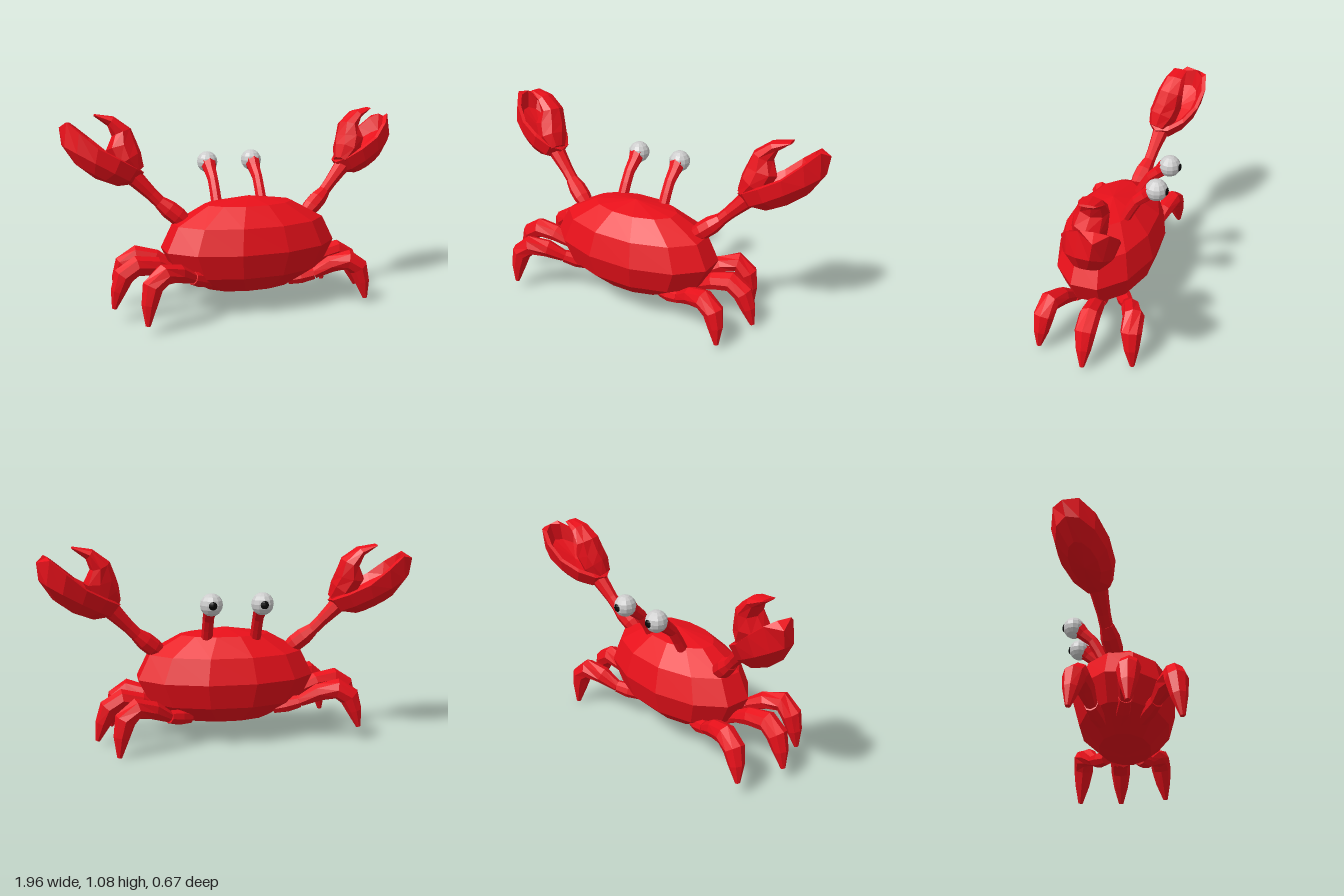
import * as THREE from 'three';

const red = new THREE.MeshStandardMaterial({ color: 0xe8101a, flatShading: true });
const grey = new THREE.MeshStandardMaterial({ color: 0xcccccc, flatShading: true });
const black = new THREE.MeshStandardMaterial({ color: 0x050505, flatShading: true });
const V = (x, y, z) => new THREE.Vector3(x, y, z);

// Closed loft through stations [x, y, z, width radius, depth radius]
function loft(stations, sides = 8) {
  const pts = stations.map(s => V(s[0], s[1], s[2]));
  const last = pts.length - 1;
  const rings = stations.map((s, i) => {
    const t = pts[Math.min(i + 1, last)].clone().sub(pts[Math.max(i - 1, 0)]).normalize();
    const w = V(0, 0, 1).addScaledVector(t, -t.z).normalize();
    return { c: pts[i], w, n: t.clone().cross(w), rw: s[3], rn: s[4] ?? s[3] };
  });
  rings.unshift({ ...rings[0], rw: 0, rn: 0 });
  rings.push({ ...rings[rings.length - 1], rw: 0, rn: 0 });
  const pos = [], index = [];
  rings.forEach((r, i) => {
    for (let j = 0; j < sides; j++) {
      const a = (j / sides) * Math.PI * 2;
      const p = r.c.clone().addScaledVector(r.w, Math.cos(a) * r.rw).addScaledVector(r.n, Math.sin(a) * r.rn);
      pos.push(p.x, p.y, p.z);
      if (i === rings.length - 1) continue;
      const k = (j + 1) % sides, b = i * sides, c = b + sides;
      index.push(b + j, b + k, c + k, b + j, c + k, c + j);
    }
  });
  const g = new THREE.BufferGeometry();
  g.setAttribute('position', new THREE.Float32BufferAttribute(pos, 3));
  g.setIndex(index);
  g.computeVertexNormals();
  return g;
}

function add(parent, name, geometry, material = red) {
  const mesh = new THREE.Mesh(geometry, material);
  mesh.name = name;
  parent.add(mesh);
  return mesh;
}

// Straight segment from a to b with radii spread evenly
function segment(a, b, radii) {
  return loft(radii.map((r, i) => [...a.clone().lerp(b, i / (radii.length - 1)).toArray(), r]));
}

function makeEye(x, side) {
  const eye = new THREE.Group();
  eye.name = side + 'Eye';
  add(eye, 'eyeStalk', loft([
    [x, 0.56, -0.09, 0.032], [x, 0.64, -0.13, 0.031], [x, 0.7, -0.165, 0.031],
    [x, 0.745, -0.215, 0.036], [x, 0.78, -0.25, 0.048],
  ]));
  add(eye, 'eyeball', new THREE.SphereGeometry(0.06, 12, 8), grey).position.set(x, 0.787, -0.27);
  const pupil = add(eye, 'pupil', new THREE.SphereGeometry(0.022, 8, 6), black);
  pupil.position.set(x, 0.787, -0.324);
  pupil.scale.z = 0.5;
  return eye;
}

// Spoon-shaped lower pincer half, hollow on top, fuller towards the wrist
function pincerShell() {
  const profile = [[0, -1], [0.5, -0.87], [0.87, -0.5], [1, 0], [0.86, 0.04], [0.65, -0.2], [0, -0.33]];
  const g = new THREE.LatheGeometry(profile.map(p => new THREE.Vector2(p[0], p[1])), 12);
  g.scale(0.252, 0.15, 0.135);
  const p = g.attributes.position;
  for (let i = 0; i < p.count; i++) {
    const x = p.getX(i), y = p.getY(i);
    p.setX(i, x + 0.28 * Math.min(y, 0));
    if (x > 0 && x < 0.24 && y > -0.01) p.setY(i, y + 0.2 * x); // hooked rim near the tip
  }
  return g;
}

function makeClaw(s, side) {
  const arm = new THREE.Group();
  arm.name = side + 'ClawArm';
  add(arm, 'upperArm', segment(V(s * 0.35, 0.49, -0.02), V(s * 0.49, 0.61, -0.06), [0.038, 0.05, 0.05, 0.036]));
  add(arm, 'forearm', segment(V(s * 0.48, 0.6, -0.06), V(s * 0.63, 0.76, -0.095), [0.034, 0.035, 0.042, 0.05]));
  const u = V(s * 0.82, 0.47, -0.32).normalize();
  const up = V(s * -0.5, 0.87, 0);
  up.addScaledVector(u, -up.dot(u)).normalize();
  const shell = add(arm, 'lowerPincer', pincerShell());
  shell.applyMatrix4(new THREE.Matrix4().makeBasis(u, up, u.clone().cross(up)).setPosition(s * 0.775, 0.893, -0.153));
  add(arm, 'upperPincer', loft([
    [s * 0.6, 0.78, -0.075, 0.05, 0.04], [s * 0.645, 0.84, -0.095, 0.085, 0.078],
    [s * 0.675, 0.91, -0.115, 0.085, 0.085], [s * 0.672, 0.985, -0.13, 0.075, 0.055],
    [s * 0.725, 1.045, -0.14, 0.06, 0.03], [s * 0.808, 1.078, -0.15, 0.04, 0.006],
  ]));
  return arm;
}

// Short hip, then one horn-like limb bending at the knee down to the pointed foot
function makeLeg(name, hip, joint, knee, tip) {
  const leg = new THREE.Group();
  leg.name = name;
  const [h, j, k, t] = [hip, joint, knee, tip].map(p => V(...p));
  const out = Math.sign(t.x);
  const at = (a, b, f, dx, dy, r) => [...a.clone().lerp(b, f).add(V(out * dx, dy, 0)).toArray(), r];
  add(leg, 'hip', segment(h, j, [0.034, 0.044, 0.036]));
  add(leg, 'limb', loft([
    at(j, k, 0, 0, 0, 0.032), at(j, k, 0.5, 0, 0.015, 0.05), at(j, k, 1, 0, 0, 0.057),
    at(k, t, 0.28, 0.035, 0.015, 0.057), at(k, t, 0.6, 0.025, 0.005, 0.042), at(k, t, 1, 0, 0, 0.013),
  ]));
  return leg;
}

export function createModel() {
  const crab = new THREE.Group();
  crab.name = 'crab';

  // Faceted oval body
  const bodyGeo = new THREE.SphereGeometry(1, 12, 6);
  bodyGeo.rotateY(Math.PI / 12);
  bodyGeo.scale(0.503, 0.271, 0.281);
  add(crab, 'body', bodyGeo).position.set(-0.002, 0.357, 0.004);

  crab.add(makeEye(0.113, 'left'), makeEye(-0.155, 'right'));
  crab.add(makeClaw(1, 'left'), makeClaw(-1, 'right'));

  // Three walking legs on each side, each in its own pose
  const legs = [
    ['leftFrontLeg', [0.21, 0.15, -0.11], [0.33, 0.18, -0.19], [0.505, 0.255, -0.275], [0.6, 0.005, -0.3]],
    ['leftMiddleLeg', [0.23, 0.14, -0.02], [0.37, 0.18, -0.04], [0.57, 0.255, -0.06], [0.71, 0.028, -0.063]],
    ['leftBackLeg', [0.21, 0.145, 0.07], [0.35, 0.175, 0.115], [0.53, 0.255, 0.18], [0.63, 0.028, 0.21]],
    ['rightFrontLeg', [-0.26, 0.18, -0.1], [-0.4, 0.22, -0.14], [-0.6, 0.295, -0.185], [-0.72, 0.08, -0.21]],
    ['rightMiddleLeg', [-0.28, 0.18, 0.0], [-0.43, 0.24, 0.03], [-0.65, 0.3, 0.06], [-0.775, 0.08, 0.06]],
    ['rightBackLeg', [-0.26, 0.19, 0.1], [-0.38, 0.24, 0.18], [-0.555, 0.3, 0.27], [-0.65, 0.05, 0.3]],
  ];
  legs.forEach(l => crab.add(makeLeg(...l)));
  return crab;
}
